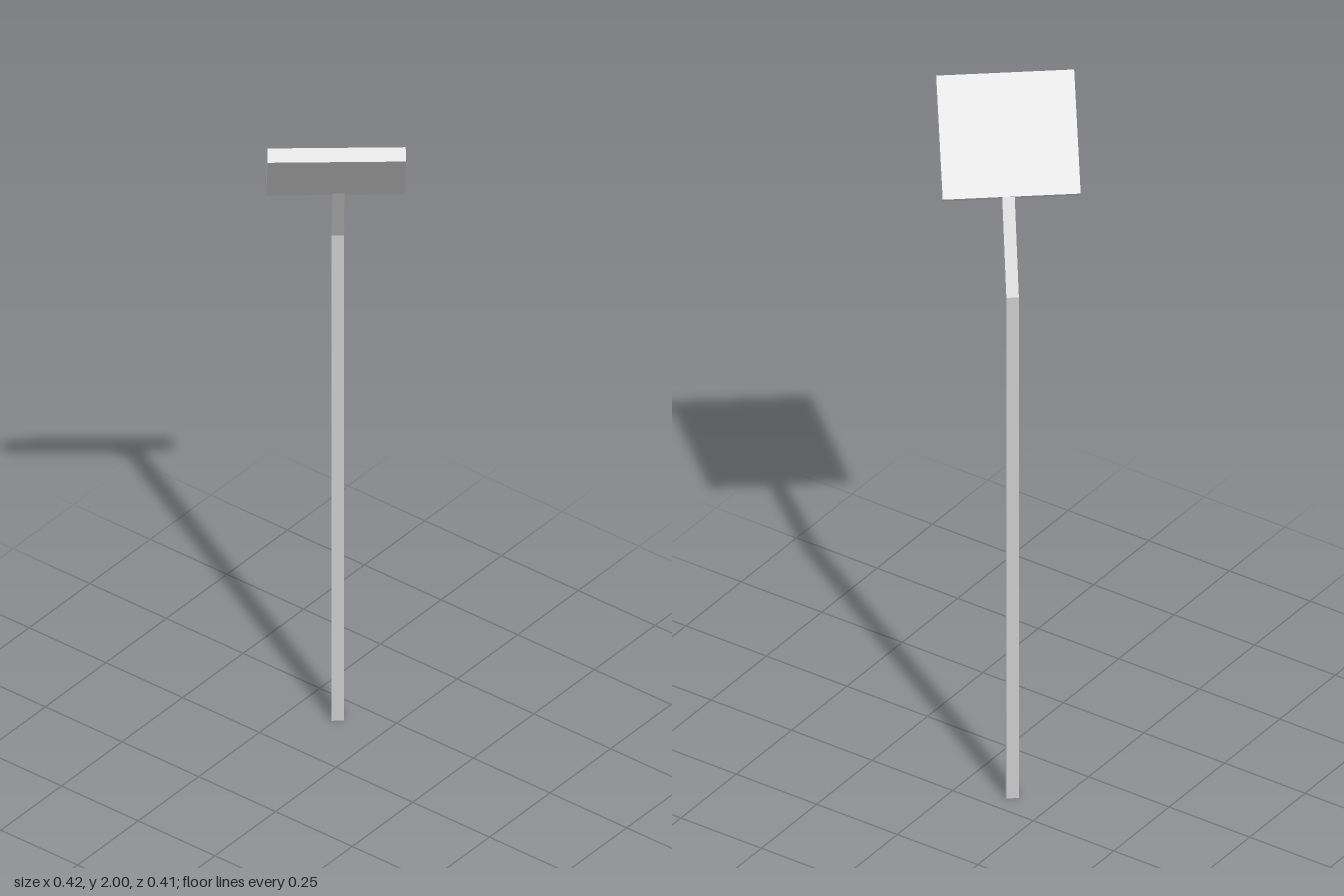
import * as THREE from 'three';

export function createModel() {
  const model = new THREE.Group();
  model.name = 'streetLamp';
  const grey = new THREE.MeshStandardMaterial({ color: 0xcccccc });
  grey.name = 'light grey metal';

  // Everything lies along one diagonal: local x is forward, local z is across
  const lamp = new THREE.Group();
  lamp.name = 'lamp';
  lamp.rotation.y = -0.887;
  model.add(lamp);

  // Post and leaning arm: one square section mitred at the bend
  const half = 0.0178, width = 0.032;
  const postX = -0.2247, bendY = 1.523, lean = Math.PI / 6, armLength = 0.261;
  const miter = half * Math.tan(lean / 2);
  const endX = postX + armLength * Math.sin(lean);
  const endY = bendY + armLength * Math.cos(lean);
  const offX = half * Math.cos(lean), offY = half * Math.sin(lean);
  const profile = new THREE.Shape([
    [postX - half, 0],
    [postX + half, 0],
    [postX + half, bendY - miter],
    [endX + offX, endY - offY],
    [endX - offX, endY + offY],
    [postX - half, bendY + miter],
  ].map(([x, y]) => new THREE.Vector2(x, y)));
  const postGeometry = new THREE.ExtrudeGeometry(profile, { depth: width, bevelEnabled: false });
  const post = new THREE.Mesh(postGeometry, grey);
  post.name = 'postAndArm';
  post.position.z = -0.008 - width / 2;
  lamp.add(post);

  // Tilted flat head, rising toward the front
  const head = new THREE.Mesh(new THREE.BoxGeometry(0.32, 0.038, 0.354), grey);
  head.name = 'lampHead';
  head.position.set(0, 1.865, 0);
  head.rotation.z = Math.atan2(0.2465, 0.204);
  lamp.add(head);

  return model;
}
